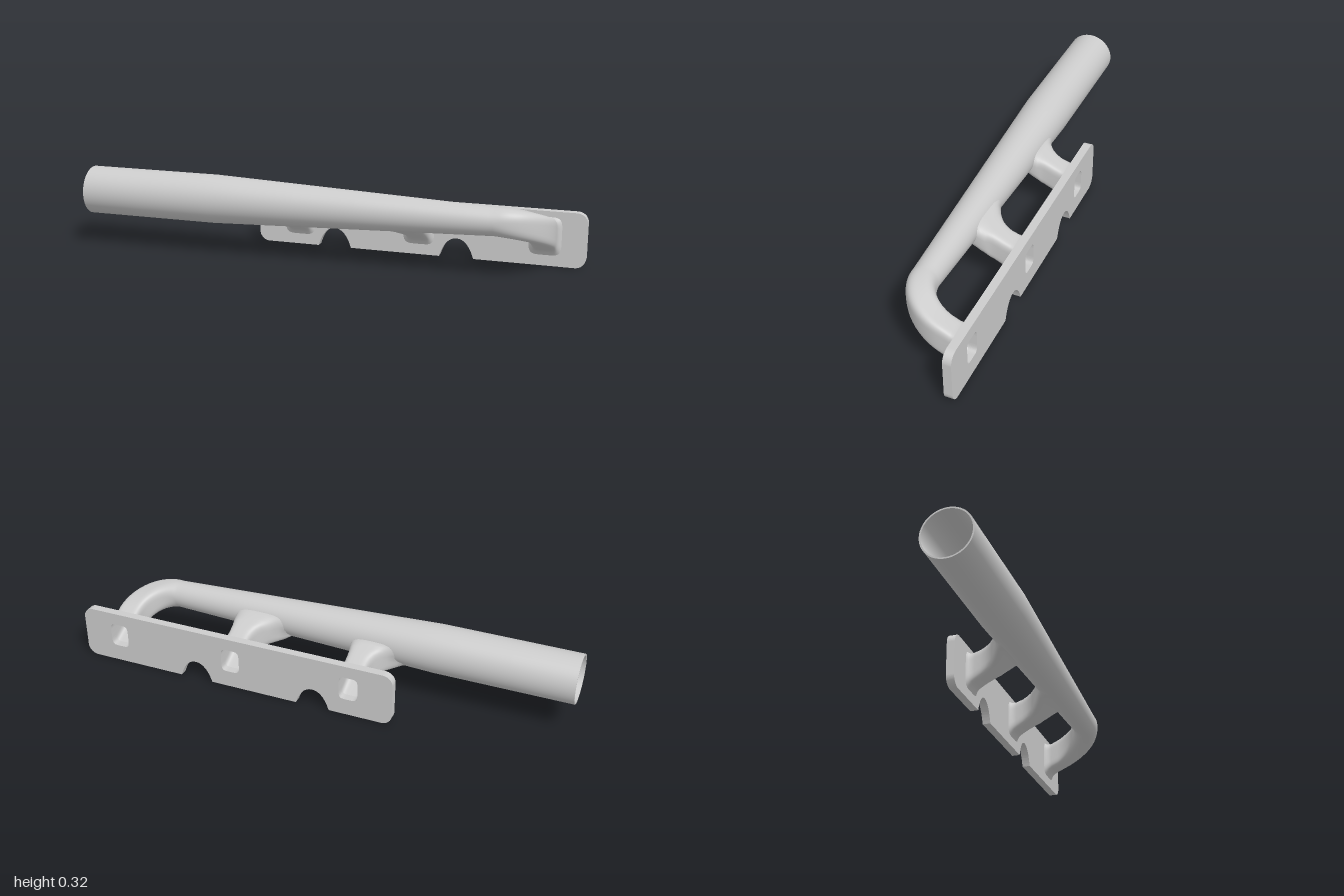
import * as THREE from 'three';

const PLATE_FRONT = -0.145, PLATE_BACK = -0.178, PORT_Y = 0.12;
const PORTS = [-0.17, 0.335, 0.84];
const SEG = 48, TAPER_START = -0.45, TAPER_END = 0.68;
const lerp = THREE.MathUtils.lerp;

// Collector: centre and radius at x
const taper = x => THREE.MathUtils.clamp((x - TAPER_START) / (TAPER_END - TAPER_START), 0, 1);
const tubeAt = x => {
  const t = taper(x);
  return { y: lerp(0.222, 0.22, t), z: lerp(0.079, 0.075, t), r: lerp(0.0975, 0.055, t) };
};
// Runners slope down from the collector to the plate
const slopeY = z => lerp(PORT_Y, 0.22, (z - PLATE_FRONT) / (0.075 - PLATE_FRONT));

// Superellipse ring: n = 2 is round, larger n is a rounded rectangle
function ring({ pos, side, a, b, n }) {
  const pw = v => Math.sign(v) * Math.pow(Math.abs(v), 2 / n);
  return Array.from({ length: SEG }, (_, i) => {
    const t = (i / SEG) * Math.PI * 2;
    return pos.clone().addScaledVector(side, a * pw(Math.cos(t))).add(new THREE.Vector3(0, b * pw(Math.sin(t)), 0));
  });
}

// Skin a row of rings
function loft(rings) {
  const index = [];
  for (let j = 0; j < rings.length - 1; j++) {
    for (let i = 0; i < SEG; i++) {
      const k = (i + 1) % SEG, p = j * SEG, q = p + SEG;
      index.push(p + i, p + k, q + i, p + k, q + k, q + i);
    }
  }
  const g = new THREE.BufferGeometry().setFromPoints(rings.flat());
  g.setIndex(index);
  g.computeVertexNormals();
  return g;
}

// Stations along the collector and its final bend
function mainStations() {
  const list = [];
  const xs = [-1, -0.75, -0.55, -0.45, -0.35, -0.1, 0.15, 0.4, 0.58, 0.66];
  for (const x of xs) {
    const { y, z, r } = tubeAt(x);
    list.push({ pos: new THREE.Vector3(x, y, z), side: new THREE.Vector3(0, 0, 1), a: r, b: r, n: 2 });
  }
  for (let i = 0; i <= 16; i++) {
    const u = i / 16, t = u * Math.PI / 2;
    const z = -0.085 + 0.16 * Math.cos(t);
    list.push({
      pos: new THREE.Vector3(0.68 + 0.16 * Math.sin(t), slopeY(z), z),
      side: new THREE.Vector3(Math.sin(t), 0, Math.cos(t)),
      a: lerp(0.055, 0.049, u), b: lerp(0.055, 0.062, u), n: lerp(2, 5, u)
    });
  }
  return list.concat(footStations(PORTS[2]));
}

// Straight foot of a runner, flared where it meets the plate
function footStations(x) {
  return [[-0.115, 0], [-0.128, 0.002], [-0.138, 0.007], [PLATE_FRONT, 0.015]].map(([z, f]) => ({
    pos: new THREE.Vector3(x, slopeY(z), z), side: new THREE.Vector3(1, 0, 0),
    a: 0.049 + f, b: 0.062 + f, n: 5
  }));
}

// Short runner sweeping sideways into the collector: z, left edge, right edge
function branchStations(x) {
  const rows = [[0.07, -0.2, 0.06], [0.04, -0.19, 0.06], [0.02, -0.17, 0.06], [0, -0.135, 0.06],
    [-0.02, -0.1, 0.058], [-0.035, -0.078, 0.053], [-0.05, -0.063, 0.05], [-0.07, -0.053, 0.049], [-0.09, -0.049, 0.049]];
  return rows.map(([z, l, r]) => ({
    pos: new THREE.Vector3(x + (l + r) / 2, slopeY(z), z), side: new THREE.Vector3(1, 0, 0),
    a: (r - l) / 2, b: 0.06, n: z > -0.03 ? 3.5 : 4.5
  })).concat(footStations(x));
}

// Keep branch points from passing through the collector wall
function clampToTube(p) {
  const { y, z, r } = tubeAt(p.x), dy = p.y - y, dz = p.z - z;
  const d = Math.max(Math.hypot(dy, dz), 1e-4), keep = r - 0.003;
  if (d < keep) { p.y = y + dy * keep / d; p.z = z + dz * keep / d; }
  return p;
}

// Inner wall of a set of stations, leaving out the flare
const inset = s => ({ ...s, a: Math.min(s.a, s.n >= 5 ? 0.049 : 1) - (s.n > 4 ? 0.01 : 0.006),
  b: Math.min(s.b, s.n >= 5 ? 0.062 : 1) - (s.n > 4 ? 0.012 : 0.006) });

// Mounting plate with rounded corners, two arched notches and three ports
function plateGeometry() {
  const l = -0.35, r = 1, h = 0.22, c = 0.042;
  const s = new THREE.Shape();
  s.moveTo(l + c, 0);
  for (const x of [-0.02, 0.49]) {
    s.lineTo(x - 0.07, 0);
    s.quadraticCurveTo(x - 0.045, 0.079, x, 0.079);
    s.quadraticCurveTo(x + 0.045, 0.079, x + 0.07, 0);
  }
  s.lineTo(r - c, 0);
  s.absarc(r - c, c, c, -Math.PI / 2, 0);
  s.absarc(r - c, h - c, c, 0, Math.PI / 2);
  s.absarc(l + c, h - c, c, Math.PI / 2, Math.PI);
  s.absarc(l + c, c, c, Math.PI, Math.PI * 1.5);
  for (const x of PORTS) {
    const pts = ring({ pos: new THREE.Vector3(x, PORT_Y, 0), side: new THREE.Vector3(1, 0, 0), a: 0.039, b: 0.05, n: 5 });
    s.holes.push(new THREE.Path(pts.map(p => new THREE.Vector2(p.x, p.y)).reverse()));
  }
  const g = new THREE.ExtrudeGeometry(s, { depth: PLATE_FRONT - PLATE_BACK, bevelEnabled: false, curveSegments: 12 });
  return g.translate(0, 0, PLATE_BACK);
}

export function createModel() {
  const group = new THREE.Group();
  const solid = new THREE.MeshStandardMaterial({ color: 0xcccccc });
  const shell = new THREE.MeshStandardMaterial({ color: 0xcccccc, side: THREE.DoubleSide });
  const add = (name, geometry, material) => {
    const mesh = new THREE.Mesh(geometry, material);
    mesh.name = name;
    group.add(mesh);
    return mesh;
  };

  add('mountingPlate', plateGeometry(), solid);

  // Collector pipe with its bent end runner
  const main = mainStations();
  add('collectorPipe', loft(main.map(ring)), shell);
  add('collectorInnerWall', loft(main.map(inset).map(ring)), shell);
  const end = tubeAt(-1);
  const rim = add('collectorRim', new THREE.RingGeometry(end.r - 0.006, end.r, SEG), shell);
  rim.rotation.y = -Math.PI / 2;
  rim.position.set(-1, end.y, end.z);

  // Two branch runners
  for (const x of PORTS.slice(0, 2)) {
    const stations = branchStations(x);
    add('branchRunner', loft(stations.map(s => ring(s).map(clampToTube))), shell);
    add('branchInnerWall', loft(stations.map(inset).map(s => ring(s).map(clampToTube))), shell);
  }
  return group;
}
